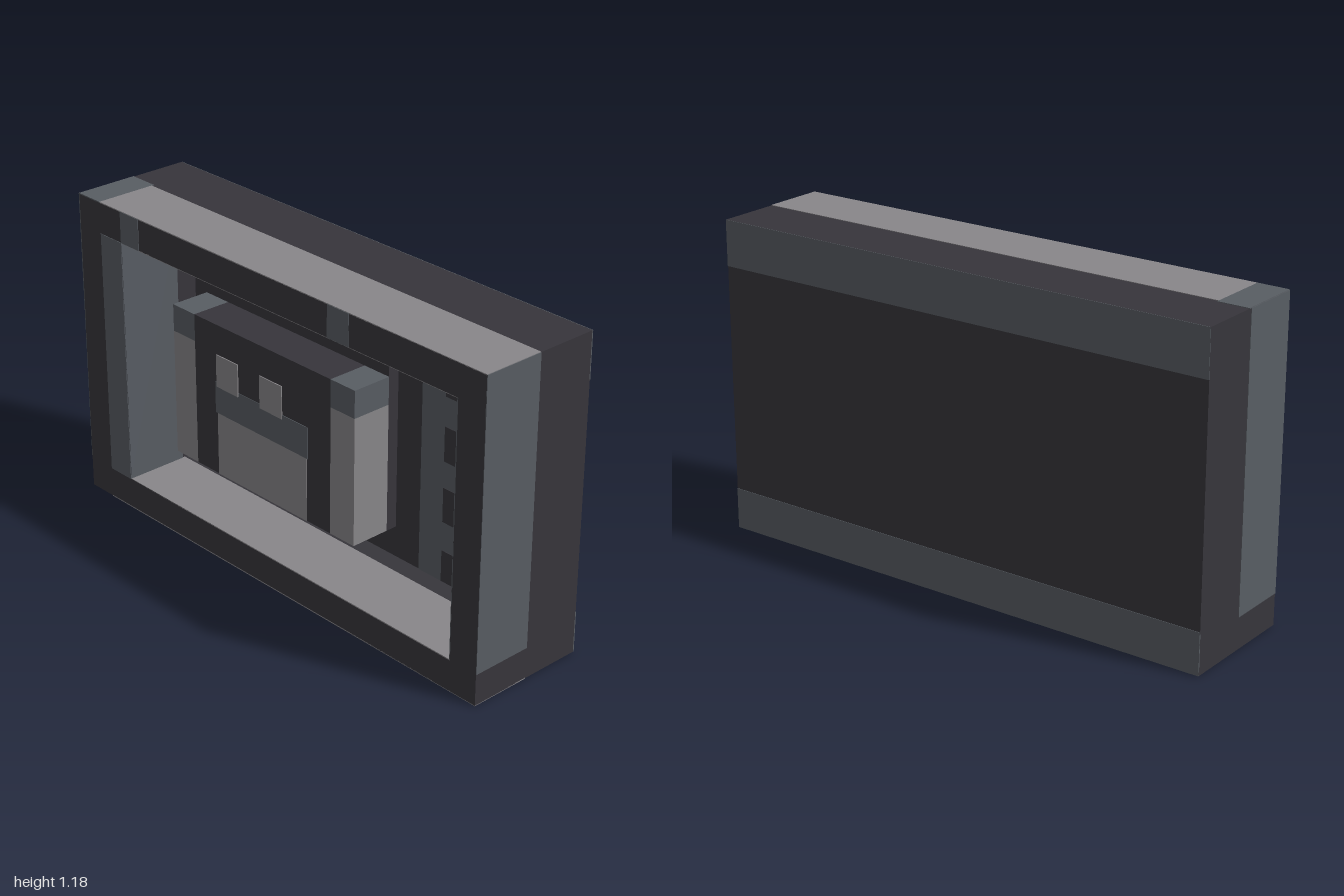
import * as THREE from 'three';

export function createModel() {
  const model = new THREE.Group();
  const material = (name, color) => Object.assign(new THREE.MeshStandardMaterial({ color }), { name });
  const dark = material('charcoal', 0x37353b);
  const mid = material('slateGrey', 0x585d63);
  const light = material('paleGrey', 0x888689);

  const U = 2 / 17;               // grid unit: the body is 17 x 10 x 4
  const H = 10 * U, Z = 2 * U;    // height and half depth
  const L = -1 + 2 * U, R = 1 - U, B = U, T = 9 * U; // opening
  const wall = -0.094, plateZ = -0.05, blockZ = 0.106; // recess depths

  // Box given by its limits on each axis
  function box(name, mat, [x0, x1], [y0, y1], [z0, z1]) {
    const mesh = new THREE.Mesh(new THREE.BoxGeometry(x1 - x0, y1 - y0, z1 - z0), mat);
    mesh.position.set((x0 + x1) / 2, (y0 + y1) / 2, (z0 + z1) / 2);
    mesh.name = name;
    model.add(mesh);
  }
  // Thin painted plate lying on a surface
  const on = (v) => [v - 0.002, v + 0.002];

  // Casing: back slab and four frame bars
  box('backSlab', dark, [-1, 1], [0, H], [-Z, wall]);
  box('frameLeftBar', dark, [-1, L], [0, H], [wall, Z]);
  box('frameRightBar', dark, [R, 1], [0, H], [wall, Z]);
  box('frameBottomBar', dark, [L, R], [0, B], [wall, Z]);
  box('frameTopBar', dark, [L, R], [T, H], [wall, Z]);

  // Painted areas outside the casing
  box('topPanel', light, [-1 + U, 1], on(H), [0, Z]);
  box('topCorner', mid, [-1, -1 + U], on(H), [-0.01, Z]);
  box('bottomPanel', light, [-1 + U, 1], on(0), [0, Z]);
  for (const x of [-1, 1]) box('sidePanel', mid, on(x), [B, H], [0, Z]);
  box('backTopStripe', mid, [-1, 1], [H - 0.17, H], on(-Z));
  box('backBottomStripe', mid, [-1, 1], [0, 0.155], on(-Z));
  box('frontSideStripe', mid, [-0.88, L], [B, T], on(Z));
  for (const x of [L, 0.3]) box('frontTopPatch', mid, [x, x + 0.1], [T, H], on(Z));

  // Painted areas on the walls of the opening
  for (const x of [L, R]) box('openingSide', mid, on(x), [B, T], [-0.01, Z]);
  for (const y of [B, T]) box('openingLedge', light, [L, R], on(y), [-0.02, Z]);

  // Recess wall: upper band, control panel and its buttons
  box('upperBand', mid, [-0.65, 0.41], [8 * U, T], on(wall));
  box('controlPanel', mid, [0.41, R], [B, T], on(wall));
  const buttons = [[0.82, 0.96, R], [0.58, 0.71, R], [0.35, 0.48, R], [0.12, 0.24, 0.77]];
  for (const [y0, y1, x1] of buttons) box('button', dark, [0.52, x1], [y0, y1], on(wall + 0.003));

  // Raised plate and the block in front of it
  const x0 = -1 + 3 * U, x1 = -1 + 11 * U, y0 = 2 * U, y1 = 7 * U;
  box('mountingPlate', dark, [x0, x1], [y0, 8 * U], [wall, plateZ]);
  box('blockCentre', dark, [x0 + U, x1 - U], [y0, y1], [plateZ, blockZ]);
  for (const x of [x0, x1 - U]) {
    box('blockColumn', light, [x, x + U], [y0, 0.72], [plateZ, blockZ]);
    box('blockColumnCap', mid, [x, x + U], [0.72, y1], [plateZ, blockZ]);
  }

  // Painted shapes on the block's front
  box('lowerShape', light, [-0.41, 0.06], [y0, 0.48], on(blockZ));
  box('shapeTop', mid, [-0.42, 0.065], [0.48, 0.6], on(blockZ));
  for (const x of [-0.41, -0.18]) box('squareMark', light, [x, x + 0.115], [0.585, 0.71], on(blockZ + 0.003));

  return model;
}
